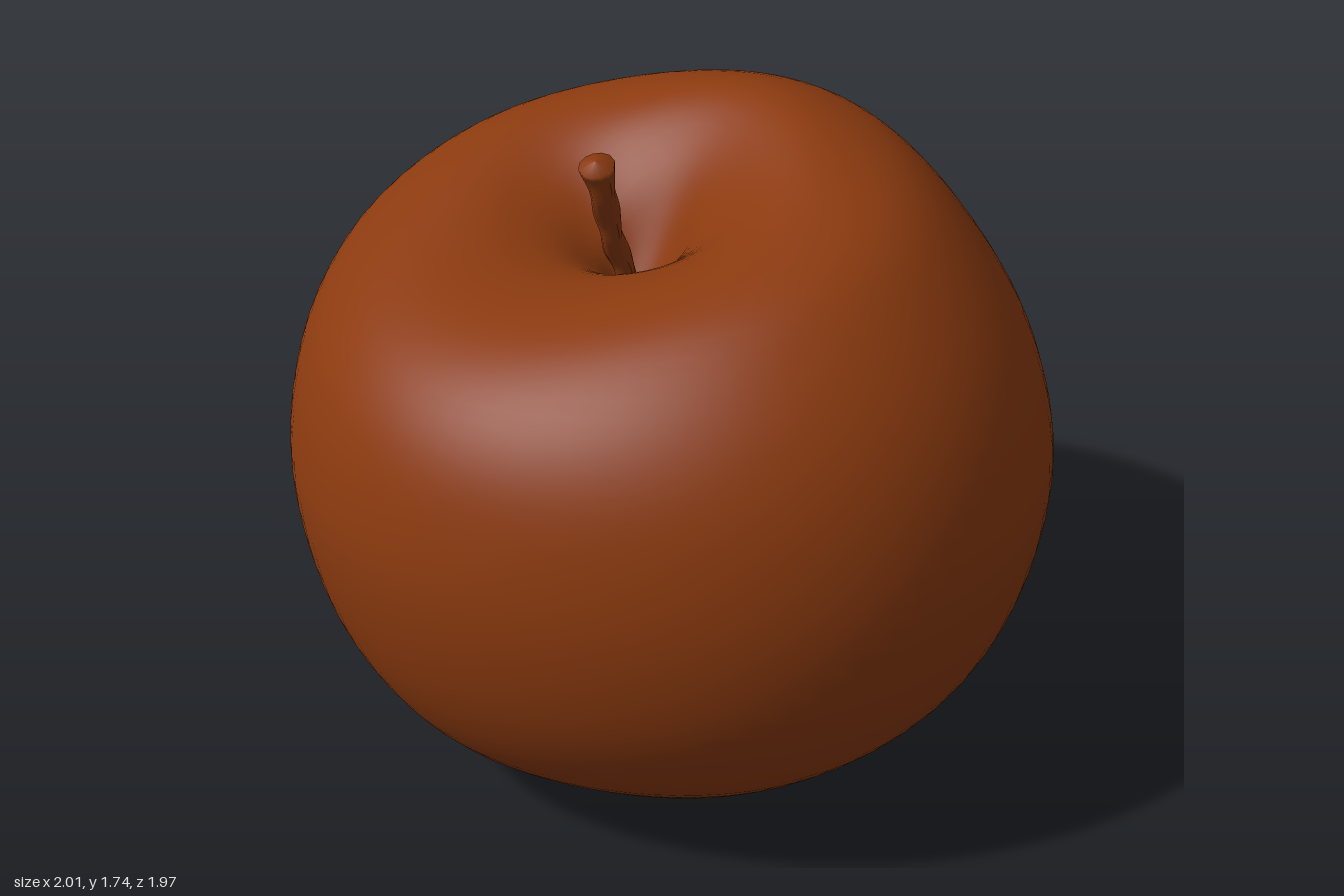
import * as THREE from 'three';

const AXIS = { x: -0.03, z: 0.1 }; // line through stem cavity and calyx

// Quarter profiles, calyx to stem cavity: pairs of outward position and height
const FRONT = [.1, .15, .2, .10, .3, .035, .45, .035, .62, .13, .8, .29, .93, .54, .985, .85,
  .945, 1.12, .85, 1.29, .70, 1.39, .5, 1.43, .32, 1.41, .2, 1.34, .13, 1.25, .1, 1.2];
const BACK = [-.1, .15, .02, .09, .15, .03, .38, .03, .58, .06, .8, .27, .92, .5, .985, .8,
  .94, 1.04, .84, 1.26, .67, 1.5, .5, 1.64, .28, 1.69, .1, 1.56, -.03, 1.33, -.1, 1.2];
const LEFT = [-.03, .15, .07, .1, .17, .025, .34, .005, .53, .06, .8, .3, .95, .55, 1, .83,
  .96, 1.1, .845, 1.33, .66, 1.51, .48, 1.56, .3, 1.53, .13, 1.41, .03, 1.27, -.03, 1.2];
const RIGHT = [.03, .15, .13, .1, .2, .03, .36, .01, .55, .06, .8, .28, .95, .52, 1, .83,
  .955, 1.1, .84, 1.33, .66, 1.5, .48, 1.55, .3, 1.5, .16, 1.39, .08, 1.27, .03, 1.2];

// Smooth spline of one profile, measured outward from the axis
function profile(data, offset, steps) {
  const pts = [];
  for (let i = 0; i < data.length; i += 2) pts.push(new THREE.Vector2(data[i] - offset, data[i + 1]));
  const spline = new THREE.SplineCurve(pts);
  return Array.from({ length: steps + 1 }, (_, i) => spline.getPoint(i / steps));
}

// Blend four values smoothly around the circle (angle 0 = front, 90 degrees = left)
function around(f, l, b, r, a) {
  return (f + l + b + r) / 4 + (f - b) / 2 * Math.cos(a) + (l - r) / 2 * Math.sin(a)
    + (f + b - l - r) / 4 * Math.cos(2 * a);
}

function bodyGeometry() {
  const rows = 75, cols = 80;
  const F = profile(FRONT, AXIS.z, rows), B = profile(BACK, -AXIS.z, rows);
  const L = profile(LEFT, AXIS.x, rows), R = profile(RIGHT, -AXIS.x, rows);
  const pos = [], index = [];
  for (let i = 0; i <= rows; i++) {
    for (let j = 0; j < cols; j++) {
      const a = j / cols * Math.PI * 2;
      const squash = 1 + 0.012 * (Math.cos(4 * a) - 1);
      const r = Math.max(0, around(F[i].x, L[i].x, B[i].x, R[i].x, a)) * squash;
      const y = around(F[i].y, L[i].y, B[i].y, R[i].y, a);
      pos.push(AXIS.x + r * Math.sin(a), Math.max(0, y), AXIS.z + r * Math.cos(a));
      if (i < rows) {
        const k = i * cols + j, n = i * cols + (j + 1) % cols;
        index.push(k, n, k + cols, n, n + cols, k + cols);
      }
    }
  }
  const g = new THREE.BufferGeometry();
  g.setAttribute('position', new THREE.Float32BufferAttribute(pos, 3));
  g.setIndex(index);
  g.computeVertexNormals();
  return g;
}

// Tube whose radius follows a function of its length
function taperedTube(points, radiusAt, segs, sides) {
  const curve = new THREE.CatmullRomCurve3(points.map(p => new THREE.Vector3(...p)));
  const g = new THREE.TubeGeometry(curve, segs, 1, sides);
  const p = g.attributes.position, v = new THREE.Vector3();
  for (let i = 0; i <= segs; i++) {
    const c = curve.getPointAt(i / segs);
    for (let j = 0; j <= sides; j++) {
      const k = i * (sides + 1) + j;
      v.fromBufferAttribute(p, k).sub(c).multiplyScalar(radiusAt(i / segs, j / sides * Math.PI * 2)).add(c);
      p.setXYZ(k, v.x, v.y, v.z);
    }
  }
  g.computeVertexNormals();
  return g;
}

export function createModel() {
  const group = new THREE.Group();
  const skin = new THREE.MeshStandardMaterial({ color: 0x8b3a0f });
  skin.name = 'russet brown';
  const add = (name, geometry, parent = group) => {
    const mesh = new THREE.Mesh(geometry, skin);
    mesh.name = name;
    parent.add(mesh);
    return mesh;
  };

  add('fruitBody', bodyGeometry());

  // Knobbly stem, flared and closed at the tip
  add('stem', taperedTube(
    [[-.03, 1.17, .1], [-.005, 1.35, .15], [.028, 1.46, .21], [.09, 1.62, .285], [.125, 1.74, .335]],
    (t, a) => t > 0.995 ? 0 : 0.028 + 0.014 * t ** 6 + 0.003 * Math.sin(t * 23 + 2 * a), 40, 12));

  // Dried sepals curling inside the bottom hollow
  const calyx = new THREE.Group();
  calyx.name = 'calyx';
  calyx.position.set(AXIS.x, 0, AXIS.z);
  group.add(calyx);
  for (let i = 0; i < 5; i++) {
    const lift = 0.012 * (i % 2);
    const sepal = add('sepal', taperedTube(
      [[0, .14, .13], [.01, .085 + lift, .11], [.02, .055 + lift, .07], [.0, .075 + lift, .01]],
      t => 0.004 + 0.028 * Math.sin(Math.PI * (0.3 + 0.7 * t)), 12, 8), calyx);
    sepal.rotation.y = i / 5 * Math.PI * 2 + 0.3 * (i % 2);
  }
  return group;
}
